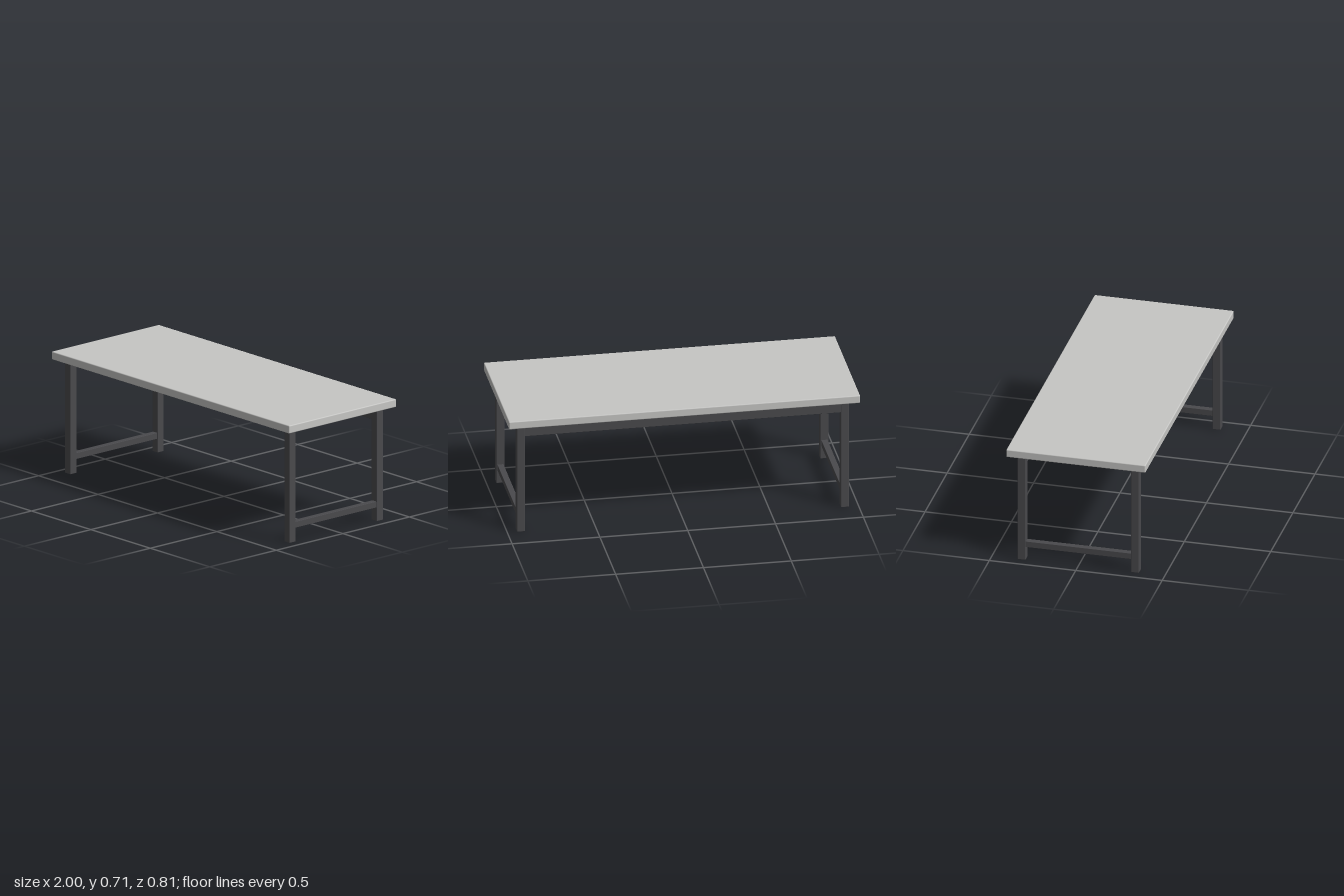
import * as THREE from 'three';
import { RoundedBoxGeometry } from 'three/addons/geometries/RoundedBoxGeometry.js';

export function createModel() {
  const table = new THREE.Group();
  table.name = 'table';
  const topGrey = new THREE.MeshStandardMaterial({ color: 0xc6c6c4 });
  topGrey.name = 'light grey top';
  const frameGrey = new THREE.MeshStandardMaterial({ color: 0x4a4a4d });
  frameGrey.name = 'dark grey frame';

  // Softly rounded bar or slab, placed by its centre
  const add = (name, material, size, position, radius) => {
    const mesh = new THREE.Mesh(new RoundedBoxGeometry(...size, 3, radius), material);
    mesh.name = name;
    mesh.position.set(...position);
    table.add(mesh);
  };

  const topBottom = 0.66, topHeight = 0.047;
  const legX = 0.922, legZ = 0.328, legSize = 0.046;

  // Tabletop
  add('tabletop', topGrey, [2, topHeight, 0.806], [0, topBottom + topHeight / 2, 0], 0.006);

  // Two end frames: a pair of legs joined by a low stretcher
  for (const [side, sx] of [['left', 1], ['right', -1]]) {
    for (const [end, sz] of [['Front', 1], ['Back', -1]]) {
      add(`${side}${end}Leg`, frameGrey, [legSize, topBottom, legSize],
        [sx * legX, topBottom / 2, sz * legZ], 0.003);
    }
    add(`${side}Stretcher`, frameGrey, [0.035, 0.036, 2 * legZ - legSize + 0.01],
      [sx * legX, 0.097, 0], 0.002);
  }

  // Long rail between the back legs, just under the top
  add('backRail', frameGrey, [2 * legX - legSize + 0.01, 0.058, 0.035], [0, 0.614, -legZ], 0.002);

  return table;
}
